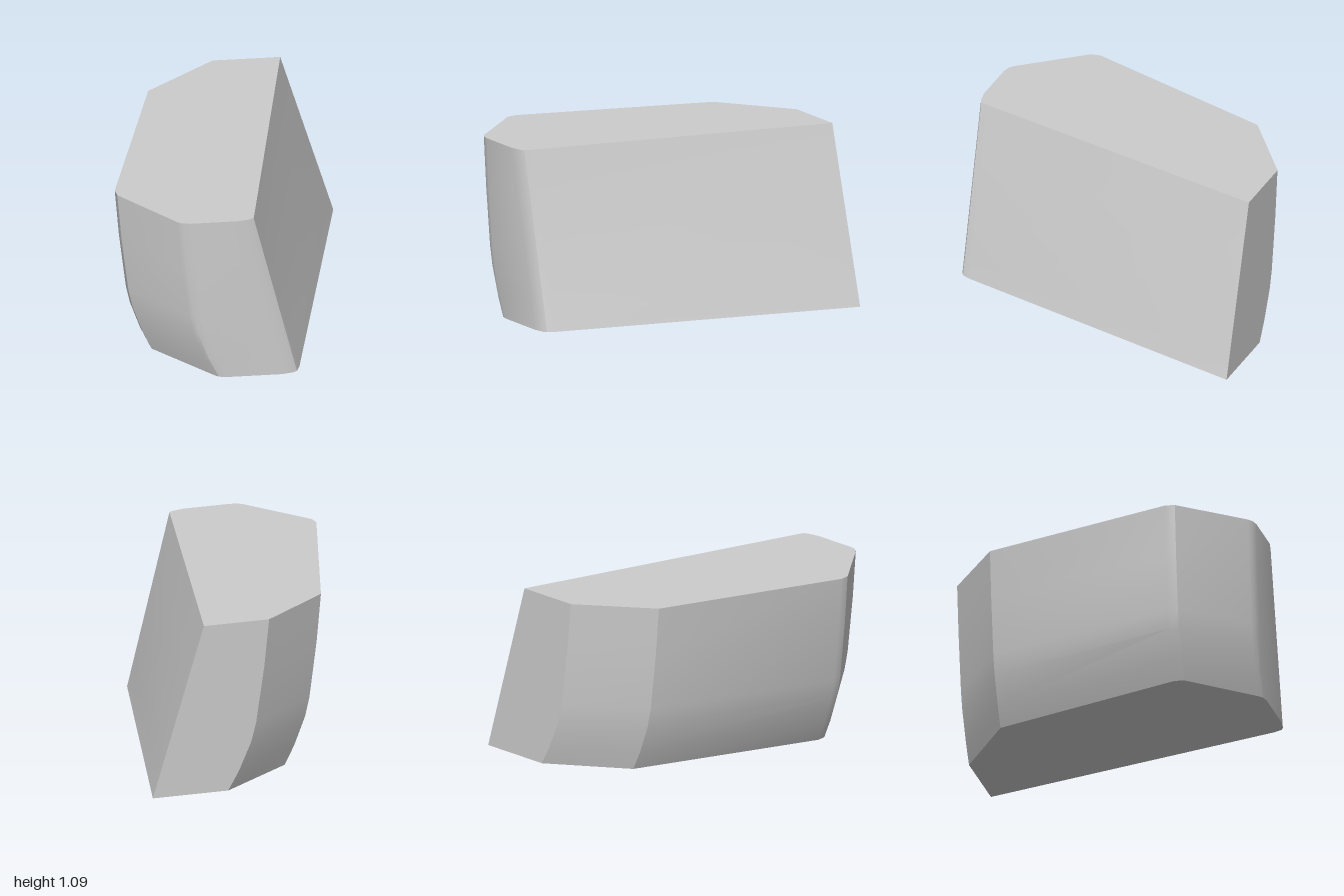
import * as THREE from 'three';
import { toCreasedNormals } from 'three/addons/utils/BufferGeometryUtils.js';

// Corner columns, counter-clockwise from above: [z, bottom x, top x, curved]
const COLUMNS = [
  [-1, 0.75, 0.425, false],
  [-1, 0.27, 0.01, true],
  [-0.667, -0.19, -0.42, true],
  [0.54, -0.545, -0.755, true],
  [0.6, -0.535, -0.745, true],
  [0.97, -0.19, -0.42, true],
  [0.99, -0.165, -0.39, true],
  [1, -0.12, -0.34, true],
  [1, 0.22, -0.05, false],
  [0.985, 0.29, 0.02, false],
  [0.97, 0.315, 0.05, false],
  [0.92, 0.335, 0.06, false],
];

// Heights, and how much of the bottom offset remains on the curved side
const LEVELS = [[0, 1], [0.12, 0.74], [0.3, 0.44], [0.42, 0.32], [0.78, 0.12], [1.085, 0]];
const HEIGHT = 1.085;

function slantedBlockGeometry() {
  const rings = LEVELS.map(([y, bend]) => COLUMNS.map(([z, bottom, top, curved]) => {
    const amount = curved ? bend : 1 - y / HEIGHT;
    return [top + (bottom - top) * amount, y, z];
  }));
  const positions = [];
  const triangle = (a, b, c) => positions.push(...a, ...b, ...c);
  const n = COLUMNS.length;

  // Walls between successive cross-sections
  for (let k = 0; k < rings.length - 1; k++) {
    for (let i = 0; i < n; i++) {
      const j = (i + 1) % n;
      triangle(rings[k][i], rings[k][j], rings[k + 1][j]);
      triangle(rings[k][i], rings[k + 1][j], rings[k + 1][i]);
    }
  }
  // Flat top and underside
  const base = rings[0], lid = rings[rings.length - 1];
  for (let i = 1; i < n - 1; i++) {
    triangle(lid[0], lid[i], lid[i + 1]);
    triangle(base[0], base[i + 1], base[i]);
  }
  const geometry = new THREE.BufferGeometry();
  geometry.setAttribute('position', new THREE.Float32BufferAttribute(positions, 3));
  return toCreasedNormals(geometry, 0.45);
}

export function createModel() {
  const group = new THREE.Group();
  group.name = 'slantedBlock';
  const block = new THREE.Mesh(
    slantedBlockGeometry(),
    new THREE.MeshStandardMaterial({ color: 0xcccccc }),
  );
  block.name = 'blockBody';
  group.add(block);
  return group;
}
